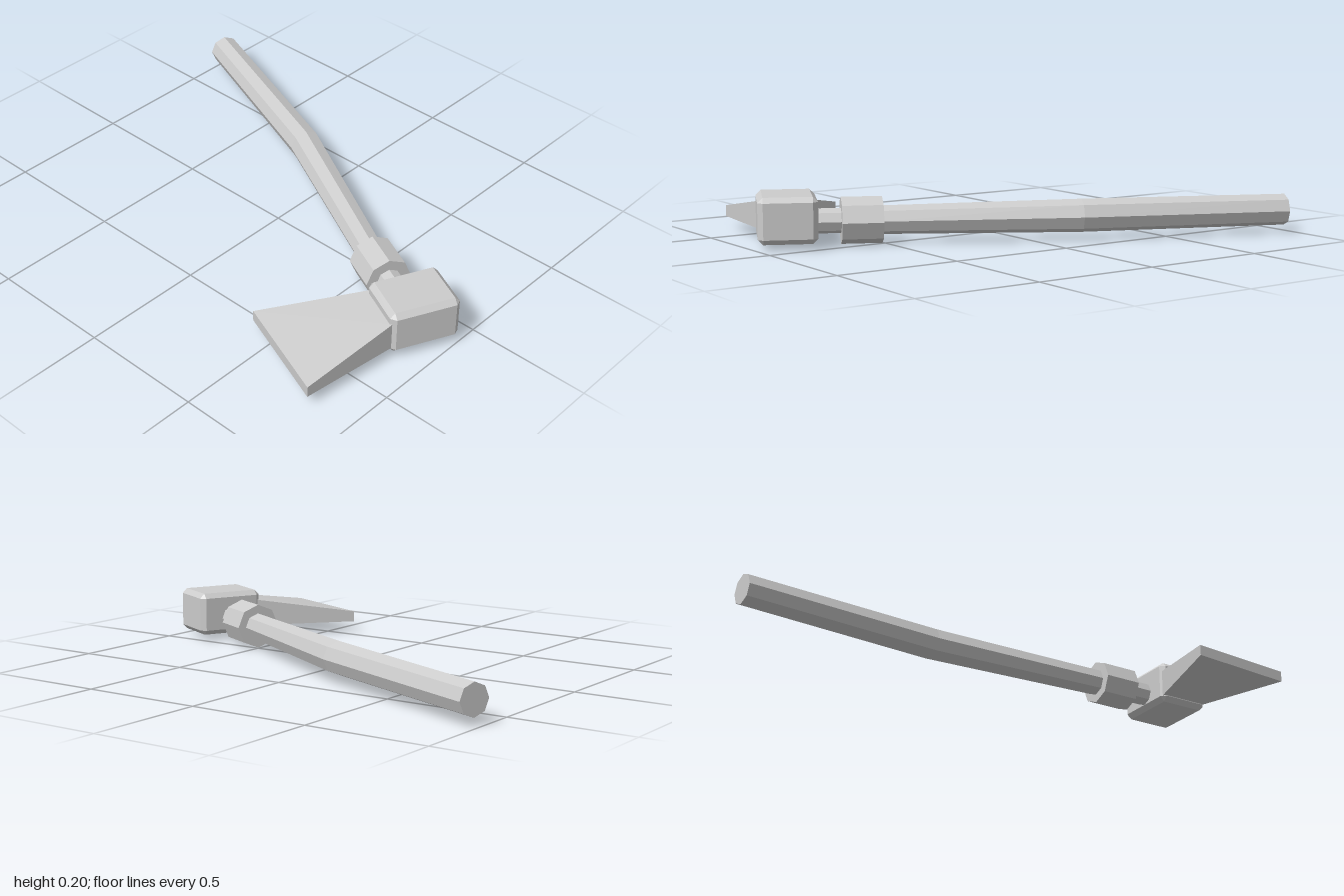
import * as THREE from 'three';
import { ConvexGeometry } from 'three/addons/geometries/ConvexGeometry.js';

const SIDES = 8;
const HEAD_ANGLE = THREE.MathUtils.degToRad(25.5);

// Octagonal rod through stations [x, y, z, radius], capped at both ends
function rod(stations) {
  const pts = stations.map(([x, y, z]) => new THREE.Vector3(x, y, z));
  const up = new THREE.Vector3(0, 1, 0);
  const positions = [];
  const push = (...vs) => vs.forEach(v => positions.push(v.x, v.y, v.z));
  const rings = stations.map((s, i) => {
    const dir = pts[Math.min(i + 1, pts.length - 1)].clone()
      .sub(pts[Math.max(i - 1, 0)]).setY(0).normalize();
    const side = dir.clone().cross(up);
    return Array.from({ length: SIDES }, (_, k) => {
      const a = (k / SIDES) * Math.PI * 2;
      return pts[i].clone()
        .addScaledVector(side, Math.cos(a) * s[3])
        .addScaledVector(up, Math.sin(a) * s[3]);
    });
  });
  const last = rings.length - 1;
  for (let k = 0; k < SIDES; k++) {
    const n = (k + 1) % SIDES;
    for (let i = 0; i < last; i++) {
      const a = rings[i][k], b = rings[i][n], c = rings[i + 1][n], d = rings[i + 1][k];
      push(a, c, b, a, d, c);
    }
    push(pts[0], rings[0][k], rings[0][n]);
    push(pts[last], rings[last][n], rings[last][k]);
  }
  // Make the winding face outward whichever way the rod frame turns
  const [r0, r1] = rings;
  const normal = r1[1].clone().sub(r0[0]).cross(r0[1].clone().sub(r0[0]));
  if (normal.dot(r0[0].clone().sub(pts[0])) < 0) {
    for (let t = 0; t < positions.length; t += 9) {
      for (let j = 0; j < 3; j++) {
        [positions[t + 3 + j], positions[t + 6 + j]] = [positions[t + 6 + j], positions[t + 3 + j]];
      }
    }
  }
  const geo = new THREE.BufferGeometry();
  geo.setAttribute('position', new THREE.Float32BufferAttribute(positions, 3));
  geo.computeVertexNormals();
  return geo;
}

// Box with every edge cut by a flat chamfer
function chamferBox(hx, hy, hz, c) {
  const points = [];
  for (const sx of [-1, 1]) for (const sy of [-1, 1]) for (const sz of [-1, 1]) {
    points.push(
      new THREE.Vector3(sx * hx, sy * (hy - c), sz * (hz - c)),
      new THREE.Vector3(sx * (hx - c), sy * hy, sz * (hz - c)),
      new THREE.Vector3(sx * (hx - c), sy * (hy - c), sz * hz));
  }
  return new ConvexGeometry(points);
}

export function createModel() {
  const group = new THREE.Group();
  group.name = 'axe';
  const grey = new THREE.MeshStandardMaterial({ color: 0xcccccc, flatShading: true });
  grey.name = 'plain grey';

  const add = (name, geometry) => {
    const mesh = new THREE.Mesh(geometry, grey);
    mesh.name = name;
    group.add(mesh);
    return mesh;
  };

  // Bent wooden shaft
  add('handle', rod([
    [-0.975, 0.092, -0.677, 0.063],
    [-0.18, 0.096, -0.362, 0.066],
    [0.52, 0.092, 0.017, 0.056],
  ]));

  // Thick ring and the thin neck leading into the head
  add('collar', rod([[0.506, 0.093, 0.011, 0.092], [0.65, 0.093, 0.08, 0.092]]));
  add('neck', rod([[0.63, 0.093, 0.07, 0.049], [0.8, 0.093, 0.151, 0.049]]));

  // Chamfered hammer block
  const head = add('head', chamferBox(0.114, 0.09, 0.14, 0.02));
  head.position.set(0.84, 0.114, 0.165);
  head.rotation.y = -HEAD_ANGLE;

  // Flared blade: flat underneath, sloping down to a thin edge
  const corners = [[0.689, 0.235, 0.16], [0.874, 0.325, 0.16], [0.823, 0.727, 0.092], [0.4, 0.562, 0.092]];
  add('blade', new ConvexGeometry(corners.flatMap(([x, z, top]) => [
    new THREE.Vector3(x, 0.047, z), new THREE.Vector3(x, top, z),
  ])));

  return group;
}
